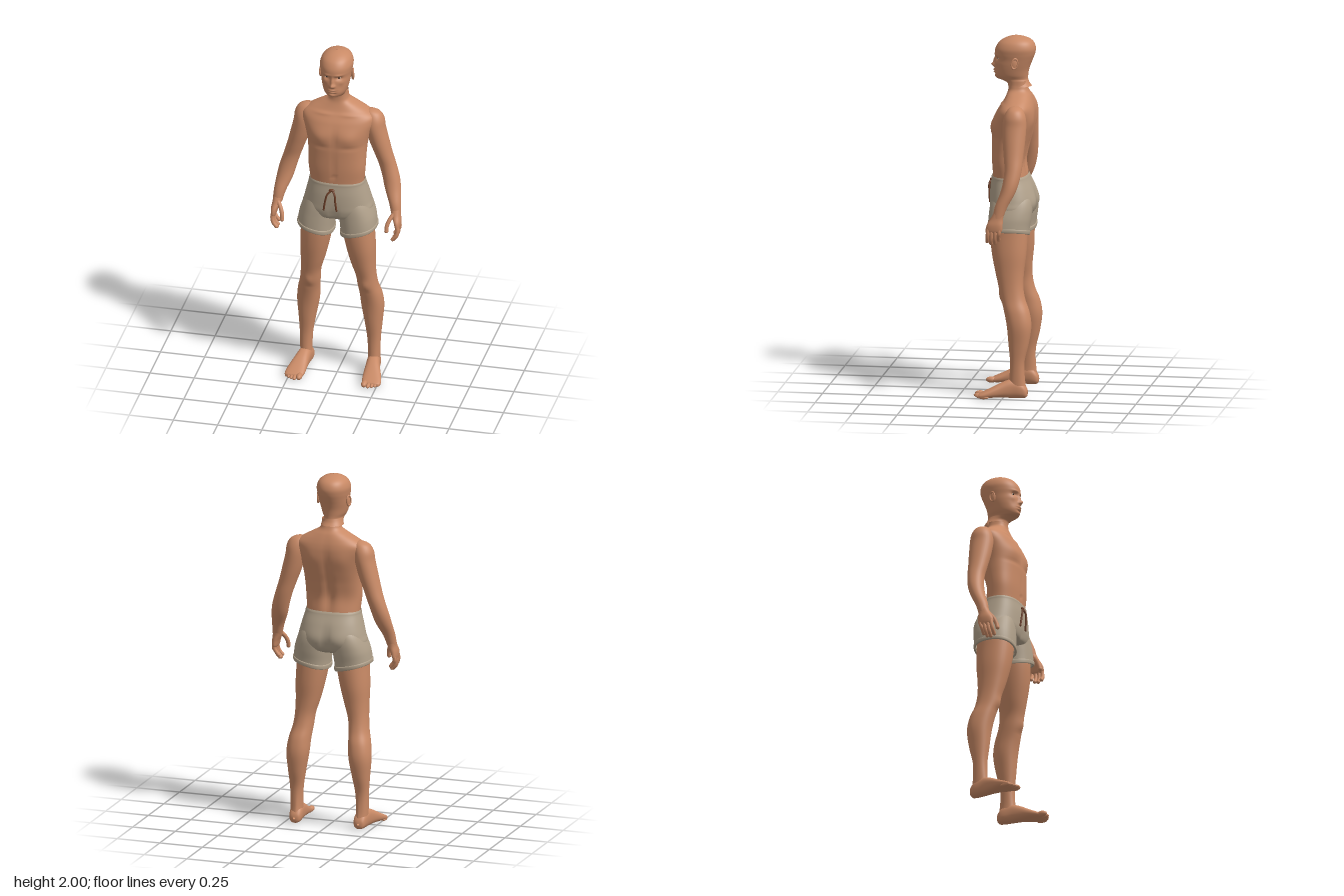
import * as THREE from 'three';
import { mergeGeometries } from 'three/addons/utils/BufferGeometryUtils.js';

const mat = (name, color, side = THREE.FrontSide) => {
  const m = new THREE.MeshStandardMaterial({ color, side });
  m.name = name;
  return m;
};

const catmull = (a, b, c, d, t) =>
  0.5 * (2 * b + (c - a) * t + (2 * a - 5 * b + 4 * c - d) * t * t + (3 * b - a - 3 * c + d) * t * t * t);

// Smooth skin through horizontal sections [y, centreX, halfWidth, zFront, zBack], listed upwards.
// Bumps [x, y, radiusX, radiusY, push, side] swell or sink the front (1) or back (-1), on both halves.
function loft(sections, { segs = 32, steps = 5, n = 2.2, bumps = [], mid = 0 } = {}) {
  const pos = [], index = [];
  const rows = (sections.length - 1) * steps;
  const at = (i) => sections[Math.min(Math.max(i, 0), sections.length - 1)];
  const curve = (v) => Math.sign(v) * Math.pow(Math.abs(v), 2 / n);
  for (let r = 0; r <= rows; r++) {
    const i = Math.min(Math.floor(r / steps), sections.length - 2);
    const t = r / steps - i;
    const [y, cx, w, zf, zb] = at(i).map((_, k) => catmull(at(i - 1)[k], at(i)[k], at(i + 1)[k], at(i + 2)[k], t));
    for (let j = 0; j < segs; j++) {
      const a = (j / segs) * Math.PI * 2;
      const x = cx + Math.max(w, 0.001) * curve(Math.cos(a));
      let z = (zf + zb) / 2 + ((zf - zb) / 2) * curve(Math.sin(a));
      for (const [bx, by, rx, ry, push, side] of bumps) {
        const facing = Math.sqrt(Math.max(0, Math.sin(a) * side));
        const dx = (Math.abs(x - mid) - bx) / rx, dy = (y - by) / ry;
        z += side * push * facing * Math.exp(-dx * dx - dy * dy);
      }
      pos.push(x, y, z);
      if (r < rows) {
        const p = r * segs + j, q = r * segs + ((j + 1) % segs);
        index.push(p, p + segs, q, q, p + segs, q + segs);
      }
    }
  }
  const g = new THREE.BufferGeometry();
  g.setAttribute('position', new THREE.Float32BufferAttribute(pos, 3));
  g.setIndex(index);
  g.computeVertexNormals();
  return g;
}

// Copy for the other half of the body, with the corner order turned back
function mirror(geo) {
  const g = geo.clone().scale(-1, 1, 1);
  const ix = g.index.array;
  for (let i = 0; i < ix.length; i += 3) [ix[i], ix[i + 1]] = [ix[i + 1], ix[i]];
  return g;
}

const ball = (x, y, z, sx, sy, sz) => new THREE.SphereGeometry(1, 20, 14).scale(sx, sy, sz).translate(x, y, z);

// Round-tipped tube for fingers and cords
function strand(points, r) {
  const path = new THREE.CatmullRomCurve3(points.map((p) => new THREE.Vector3(...p)));
  const tip = points[points.length - 1];
  return mergeGeometries([new THREE.TubeGeometry(path, 14, r, 10), ball(...tip, r, r, r)]);
}

export function createModel() {
  const model = new THREE.Group();
  model.name = 'figure';
  const skin = mat('skin', 0xc98a66, THREE.DoubleSide);
  const cloth = mat('shortsCloth', 0xb0a08a, THREE.DoubleSide);
  const cord = mat('cordBrown', 0x6e4029);
  const white = mat('eyeWhite', 0xd8cabd);
  const dark = mat('irisDark', 0x3a2a22);

  const add = (name, geo, material, parent = model) => {
    const m = new THREE.Mesh(geo, material);
    m.name = name;
    parent.add(m);
    return m;
  };
  const addPair = (name, geo, material, parent) => {
    add(name + 'Left', geo, material, parent);
    add(name + 'Right', mirror(geo), material, parent);
  };

  // Head with neck stub, modelled about its own middle
  const head = new THREE.Group();
  head.name = 'head';
  head.position.x = -0.01;
  model.add(head);
  add('skull', loft([
    [1.718, 0, 0.062, 0.006, -0.124], [1.735, 0, 0.056, 0.012, -0.112], [1.75, 0, 0.054, 0.04, -0.106],
    [1.76, 0, 0.056, 0.07, -0.104], [1.78, 0, 0.066, 0.08, -0.105], [1.81, 0, 0.074, 0.082, -0.11],
    [1.84, 0, 0.08, 0.079, -0.12], [1.87, 0, 0.084, 0.076, -0.132], [1.9, 0, 0.089, 0.08, -0.143],
    [1.93, 0, 0.091, 0.075, -0.147], [1.96, 0, 0.081, 0.057, -0.137], [1.98, 0, 0.062, 0.03, -0.115],
    [1.993, 0, 0.036, -0.002, -0.078], [2.0, 0, 0.002, -0.034, -0.038],
  ], { segs: 112, steps: 8, n: 2.1, bumps: [
    [0, 1.832, 0.01, 0.011, 0.018, 1], [0, 1.856, 0.008, 0.022, 0.012, 1], [0.012, 1.828, 0.006, 0.007, 0.007, 1],
    [0.034, 1.874, 0.017, 0.011, -0.013, 1], [0.034, 1.893, 0.022, 0.006, 0.005, 1], [0.052, 1.848, 0.016, 0.014, 0.004, 1],
    [0, 1.803, 0.018, 0.004, 0.008, 1], [0, 1.791, 0.016, 0.004, 0.007, 1], [0, 1.797, 0.022, 0.002, -0.005, 1],
    [0, 1.781, 0.02, 0.005, -0.005, 1], [0, 1.767, 0.018, 0.008, 0.004, 1], [0.045, 1.815, 0.015, 0.02, -0.004, 1],
  ] }), skin, head);
  addPair('eye', ball(0.034, 1.874, 0.048, 0.013, 0.007, 0.012), white, head);
  addPair('iris', ball(0.034, 1.874, 0.0585, 0.005, 0.005, 0.003), dark, head);
  const ear = mergeGeometries([
    ball(0, 0, 0, 0.007, 0.031, 0.017),
    new THREE.TorusGeometry(0.02, 0.0045, 8, 24).rotateY(Math.PI / 2).scale(1, 1.4, 0.85).translate(0.005, 0.002, 0),
  ]).rotateX(-0.15).rotateY(0.3).translate(0.086, 1.853, -0.042);
  addPair('ear', ear, skin, head);

  // Trunk from the hips to the neck
  add('torso', loft([
    [1.15, 0, 0.148, 0.08, -0.11], [1.22, 0, 0.151, 0.084, -0.102], [1.3, 0, 0.159, 0.089, -0.09],
    [1.38, 0, 0.162, 0.09, -0.108], [1.45, 0, 0.168, 0.09, -0.13], [1.52, 0, 0.184, 0.086, -0.145],
    [1.575, 0, 0.202, 0.066, -0.149], [1.61, 0, 0.2, 0.046, -0.146], [1.64, 0, 0.16, 0.026, -0.138],
    [1.67, 0, 0.105, 0.012, -0.126], [1.695, 0, 0.063, 0.004, -0.112], [1.72, 0, 0.052, 0.002, -0.104],
    [1.75, 0, 0.05, 0.004, -0.1],
  ], { segs: 80, steps: 7, n: 2.3, bumps: [
    [0.085, 1.5, 0.055, 0.042, 0.01, 1], [0, 1.5, 0.016, 0.06, -0.005, 1], [0.09, 1.445, 0.06, 0.012, -0.004, 1],
    [0, 1.33, 0.01, 0.08, -0.004, 1], [0, 1.262, 0.008, 0.009, -0.007, 1], [0.08, 1.628, 0.06, 0.009, 0.005, 1],
    [0, 1.4, 0.02, 0.17, -0.013, -1], [0.095, 1.53, 0.05, 0.06, 0.008, -1], [0.05, 1.3, 0.03, 0.1, 0.005, -1],
  ] }), skin);

  // Arms, from wrist to shoulder cap
  addPair('arm', loft([
    [1.04, 0.335, 0.027, 0.036, -0.022], [1.1, 0.325, 0.034, 0.025, -0.045], [1.17, 0.306, 0.045, 0, -0.082],
    [1.23, 0.292, 0.048, -0.014, -0.103], [1.3, 0.271, 0.048, -0.02, -0.116], [1.37, 0.248, 0.05, -0.012, -0.121],
    [1.45, 0.223, 0.055, -0.002, -0.127], [1.53, 0.203, 0.056, 0.003, -0.13], [1.58, 0.196, 0.056, -0.004, -0.125],
    [1.615, 0.187, 0.047, -0.02, -0.11], [1.632, 0.178, 0.028, -0.037, -0.09], [1.638, 0.174, 0.002, -0.06, -0.064],
  ], { n: 2 }), skin);

  // Hands: palm, four curled fingers and a thumb
  const fingers = [-0.006, 0.015, 0.036, 0.056].map((z, i) => {
    const drop = [0.022, 0.005, 0, 0.01][i];
    return strand([[0.349, 0.99, z], [0.354, 0.955, z + 0.004], [0.347, 0.918 + drop, z + 0.008],
      [0.329, 0.895 + drop, z + 0.01]], 0.0105);
  });
  const thumb = strand([[0.327, 1.045, 0.028], [0.306, 1.012, 0.052], [0.296, 0.98, 0.066], [0.295, 0.956, 0.072]], 0.0115);
  addPair('palm', loft([
    [0.957, 0.352, 0.004, 0.045, 0.01], [0.966, 0.351, 0.013, 0.068, -0.017], [1, 0.347, 0.02, 0.066, -0.022],
    [1.035, 0.337, 0.025, 0.046, -0.023], [1.07, 0.331, 0.028, 0.03, -0.03],
  ], { segs: 24 }), skin);
  addPair('fingers', mergeGeometries([...fingers, thumb]), skin);

  // Legs, from ankle to hip
  addPair('leg', loft([
    [0.05, 0.19, 0.034, -0.028, -0.126], [0.1, 0.192, 0.033, -0.034, -0.118], [0.2, 0.191, 0.037, -0.038, -0.117],
    [0.3, 0.187, 0.049, -0.029, -0.14], [0.4, 0.182, 0.062, -0.019, -0.154], [0.48, 0.175, 0.061, -0.003, -0.143],
    [0.55, 0.163, 0.056, 0.017, -0.117], [0.62, 0.155, 0.056, 0.032, -0.105], [0.7, 0.142, 0.067, 0.052, -0.107],
    [0.8, 0.13, 0.08, 0.073, -0.118], [0.9, 0.118, 0.087, 0.084, -0.122], [0.98, 0.112, 0.088, 0.082, -0.12],
    [1.05, 0.1, 0.08, 0.07, -0.115],
  ], { segs: 40, bumps: [
    [0.16, 0.565, 0.025, 0.028, 0.007, 1], [0.16, 0.52, 0.03, 0.012, -0.003, 1], [0.18, 0.09, 0.012, 0.07, 0.004, -1],
  ] }), skin);

  // Feet are lofted heel to toe, then laid along z: [z, x, halfWidth, -bottom, -top]
  addPair('foot', loft([
    [-0.136, 0.188, 0.006, -0.026, -0.036], [-0.128, 0.188, 0.027, -0.005, -0.06], [-0.1, 0.189, 0.036, 0, -0.092],
    [-0.05, 0.194, 0.037, 0, -0.105], [0, 0.201, 0.042, -0.003, -0.09], [0.05, 0.21, 0.05, -0.003, -0.064],
    [0.09, 0.216, 0.054, 0, -0.044], [0.115, 0.219, 0.051, 0, -0.032], [0.127, 0.219, 0.043, -0.004, -0.026],
    [0.132, 0.219, 0.02, -0.012, -0.018],
  ], { n: 2.4 }).rotateX(Math.PI / 2), skin);
  const toes = [[0.184, 0.16, 0.017], [0.208, 0.163, 0.012], [0.227, 0.154, 0.011], [0.244, 0.144, 0.011], [0.259, 0.131, 0.01]];
  addPair('toes', mergeGeometries(toes.map(([x, tip, r]) => ball(x, r, tip - 0.03, r, r, 0.03))), skin);

  // Shorts: seat, two wide legs and rolled hems that dip towards the inside
  add('shortsSeat', loft([
    [0.985, 0, 0.09, 0.05, -0.09], [1.005, 0, 0.155, 0.086, -0.13], [1.045, 0, 0.195, 0.099, -0.15],
    [1.09, 0, 0.187, 0.101, -0.155], [1.15, 0, 0.172, 0.099, -0.14], [1.2, 0, 0.159, 0.093, -0.118],
    [1.215, 0, 0.157, 0.092, -0.112], [1.224, 0, 0.154, 0.088, -0.106],
  ], { segs: 64, steps: 6, n: 2.4, bumps: [
    [0.075, 1.07, 0.05, 0.06, 0.008, -1], [0, 1.06, 0.02, 0.08, -0.012, -1], [0, 1.03, 0.02, 0.05, -0.008, 1],
  ] }), cloth);
  const dip = (g) => {
    const p = g.attributes.position;
    for (let i = 0; i < p.count; i++) {
      const fade = Math.min(1, Math.max(0, (1.05 - p.getY(i)) / 0.13));
      p.setY(i, p.getY(i) + fade * (p.getX(i) - 0.122) * 0.25);
    }
    g.computeVertexNormals();
    return g;
  };
  addPair('shortsLeg', dip(loft([
    [0.912, 0.121, 0.1, 0.098, -0.13], [0.95, 0.118, 0.1, 0.097, -0.134], [1, 0.111, 0.1, 0.094, -0.142],
    [1.06, 0.1, 0.094, 0.088, -0.146], [1.11, 0.09, 0.08, 0.075, -0.135], [1.15, 0.08, 0.06, 0.05, -0.1],
  ], { segs: 40, n: 2.3 })), cloth);
  addPair('shortsHem', dip(loft([
    [0.908, 0.121, 0.094, 0.091, -0.125], [0.906, 0.121, 0.102, 0.1, -0.133], [0.916, 0.121, 0.104, 0.102, -0.136],
    [0.928, 0.12, 0.103, 0.101, -0.136], [0.93, 0.12, 0.098, 0.095, -0.13],
  ], { segs: 40, steps: 3, n: 2.3 })), cloth);

  // Drawstring with its knot
  add('drawstring', mergeGeometries([
    strand([[-0.006, 1.188, 0.097], [-0.03, 1.165, 0.108], [-0.043, 1.12, 0.108], [-0.052, 1.065, 0.104]], 0.0055),
    strand([[-0.006, 1.188, 0.097], [0.01, 1.165, 0.108], [0.014, 1.12, 0.108], [0.02, 1.065, 0.104]], 0.0055),
    ball(-0.008, 1.186, 0.098, 0.017, 0.008, 0.009),
  ]), cord);

  return model;
}
